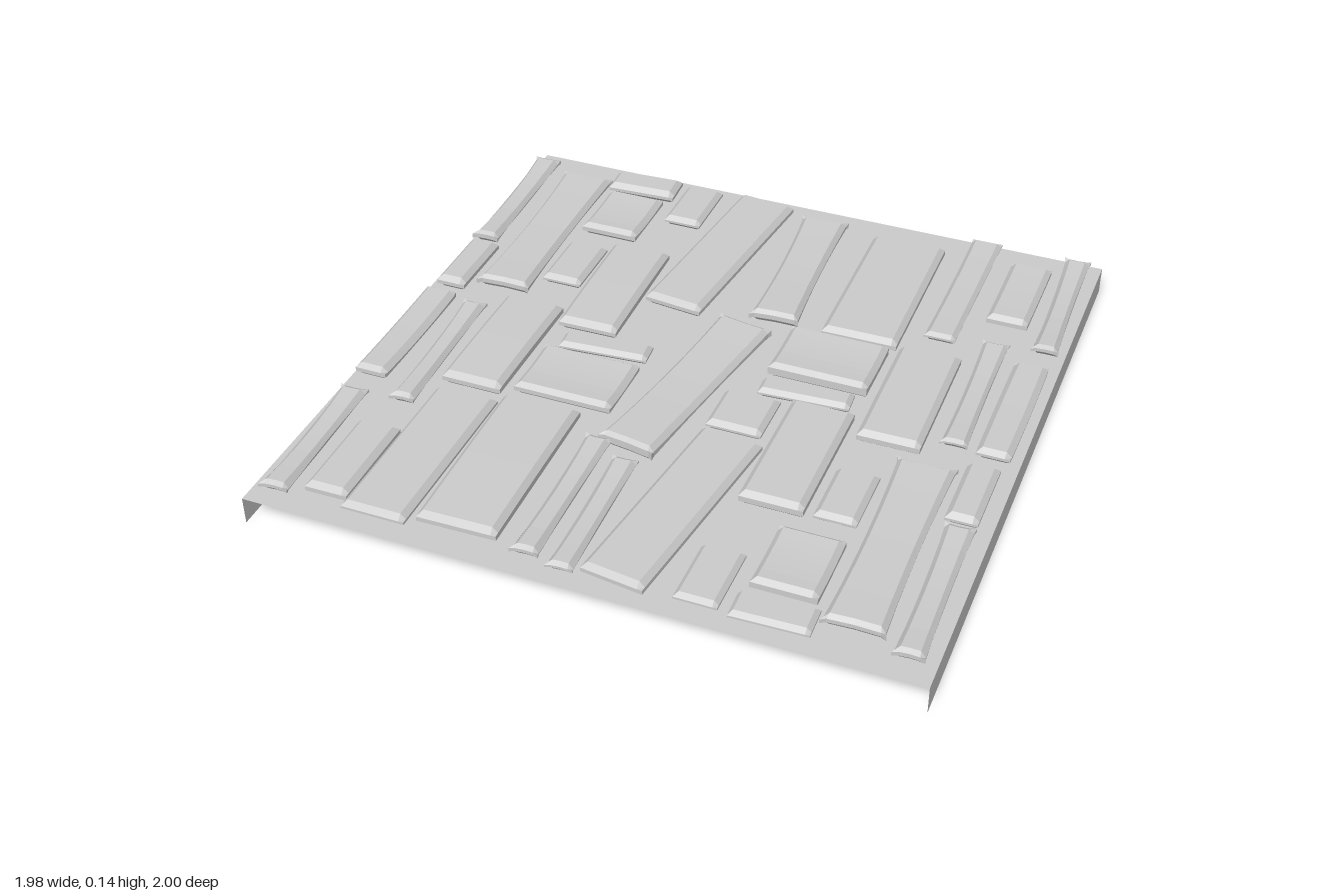
import * as THREE from 'three';

const grey = new THREE.MeshStandardMaterial({ color: 0xcccccc, flatShading: true, side: THREE.DoubleSide });
const BEVEL = 0.016;

// Each stone: x, z, width, length, turn, top, bottom, waist (side pinch), sag (dip of the top)
const backStones = [
  [-0.94, -0.66, 0.09, 0.53, 0.03, 0.142, 0.095, 0.18, 0.02],
  [-0.77, -0.53, 0.18, 0.71, 0.02, 0.132, 0.085, 0.16, 0.012],
  [-0.57, -0.9, 0.23, 0.105, 0.05, 0.13, 0.087, 0, 0],
  [-0.57, -0.7, 0.19, 0.24, 0, 0.132, 0.085, 0, 0.008],
  [-0.37, -0.84, 0.125, 0.22, 0, 0.122, 0.085, 0, 0],
  [-0.6, -0.38, 0.13, 0.22, 0, 0.122, 0.085, 0, 0],
  [-0.42, -0.29, 0.19, 0.46, 0.02, 0.13, 0.085, 0, -0.005],
  [-0.18, -0.61, 0.19, 0.68, -0.11, 0.13, 0.085, 0, 0],
  [0.09, -0.61, 0.16, 0.6, 0.05, 0.135, 0.087, 0.16, 0.012],
  [0.375, -0.61, 0.24, 0.57, 0.01, 0.118, 0.062, 0, 0],
  [0.61, -0.7, 0.1, 0.58, 0, 0.122, 0.087, 0.05, 0.01],
  [0.78, -0.74, 0.13, 0.33, 0, 0.118, 0.06, 0, 0.005],
  [0.92, -0.72, 0.085, 0.53, 0.03, 0.13, 0.087, 0.2, 0.02],
];
const middleStones = [
  [-0.92, -0.25, 0.095, 0.25, 0, 0.132, 0.087, 0, 0],
  [-0.925, 0.155, 0.1, 0.46, 0, 0.136, 0.09, -0.06, 0.008],
  [-0.79, 0.2, 0.08, 0.53, 0.04, 0.13, 0.087, 0.2, 0.015],
  [-0.62, 0.1, 0.19, 0.45, 0, 0.132, 0.085, 0, -0.004],
  [-0.325, 0, 0.28, 0.075, 0.08, 0.12, 0.087, 0, 0],
  [-0.34, 0.18, 0.31, 0.225, 0, 0.132, 0.085, 0, 0.008],
  [-0.02, 0.09, 0.18, 0.7, -0.16, 0.142, 0.087, 0.1, 0.015],
  [0.18, 0.155, 0.17, 0.175, 0, 0.122, 0.085, 0, 0],
  [0.33, -0.18, 0.31, 0.225, 0, 0.135, 0.078, 0, 0.008],
  [0.32, 0, 0.28, 0.075, 0.06, 0.12, 0.087, 0, 0],
  [0.61, -0.1, 0.19, 0.46, 0.01, 0.122, 0.073, 0, 0],
  [0.785, -0.19, 0.085, 0.53, 0.02, 0.122, 0.087, 0.2, 0.015],
  [0.91, -0.14, 0.1, 0.46, 0, 0.128, 0.087, -0.06, 0.005],
  [0.9, 0.265, 0.095, 0.25, 0, 0.125, 0.085, 0, 0],
  [0.395, 0.29, 0.19, 0.46, 0, 0.135, 0.085, 0, 0],
  [0.575, 0.39, 0.125, 0.22, 0, 0.112, 0.075, 0, 0],
];
const frontStones = [
  [-0.92, 0.715, 0.09, 0.49, 0.03, 0.138, 0.095, 0.18, 0.018],
  [-0.78, 0.745, 0.13, 0.32, 0.01, 0.12, 0.073, 0, 0],
  [-0.61, 0.655, 0.195, 0.58, 0, 0.122, 0.082, 0, 0],
  [-0.38, 0.615, 0.24, 0.58, 0.02, 0.12, 0.073, 0, -0.004],
  [-0.16, 0.675, 0.085, 0.53, 0.02, 0.13, 0.087, 0.2, 0.018],
  [-0.05, 0.715, 0.08, 0.49, 0.03, 0.125, 0.087, 0.15, 0.015],
  [0.15, 0.615, 0.19, 0.68, -0.13, 0.13, 0.085, 0, 0],
  [0.34, 0.835, 0.125, 0.22, 0, 0.118, 0.085, 0, 0],
  [0.54, 0.7, 0.19, 0.24, 0, 0.122, 0.07, 0, 0.008],
  [0.545, 0.905, 0.225, 0.1, 0.03, 0.118, 0.085, 0, 0],
  [0.75, 0.54, 0.18, 0.71, 0.01, 0.13, 0.085, 0.15, 0.012],
  [0.91, 0.675, 0.09, 0.53, 0.02, 0.132, 0.087, 0.18, 0.018],
];

// Bevelled slab: the box's outer grid lines become the chamfer, then it is pinched and bent
function stone([x, z, w, l, turn, top, bottom, waist, sag]) {
  const geo = new THREE.BoxGeometry(2, 2, 2, 4, 1, 8);
  const p = geo.attributes.position;
  const b = Math.min(BEVEL, (top - bottom) * 0.4);
  const place = (g, inner, half) =>
    Math.abs(g) > 0.99 ? g * half : (g / inner) * (half - b);
  for (let i = 0; i < p.count; i++) {
    const u = p.getX(i), v = p.getY(i), t = p.getZ(i);
    const rim = Math.abs(u) > 0.99 || Math.abs(t) > 0.99;
    const bend = 1 - t * t;
    const px = place(u, 0.5, w / 2) * (1 - waist * bend);
    const notch = Math.max(waist, 0) * 0.5 * w * (1 - u * u) * t;
    const pz = place(t, 0.75, l / 2) - notch;
    const py = v > 0 ? top - (rim ? b : 0) - sag * bend : bottom + (rim ? b : 0);
    p.setXYZ(i, px, py, pz);
  }
  geo.computeVertexNormals();
  const mesh = new THREE.Mesh(geo, grey);
  mesh.position.set(x, 0, z);
  mesh.rotation.y = turn;
  return mesh;
}

export function createModel() {
  const model = new THREE.Group();
  model.name = 'stonePavingTile';

  // Thin ground sheet with a folded flap down each side
  const sheet = new THREE.Mesh(new THREE.PlaneGeometry(1.98, 2), grey);
  sheet.name = 'groundSheet';
  sheet.rotation.x = -Math.PI / 2;
  sheet.position.y = 0.087;
  model.add(sheet);
  for (const side of [1, -1]) {
    const flap = new THREE.Mesh(new THREE.PlaneGeometry(2, 0.087), grey);
    flap.name = side > 0 ? 'leftFlap' : 'rightFlap';
    flap.rotation.y = side * Math.PI / 2;
    flap.position.set(side * 0.99, 0.0435, 0);
    model.add(flap);
  }

  // Paving stones
  const rows = { backStone: backStones, middleStone: middleStones, frontStone: frontStones };
  for (const [name, list] of Object.entries(rows)) {
    list.forEach((spec, i) => {
      const mesh = stone(spec);
      mesh.name = `${name}${i + 1}`;
      model.add(mesh);
    });
  }
  return model;
}
